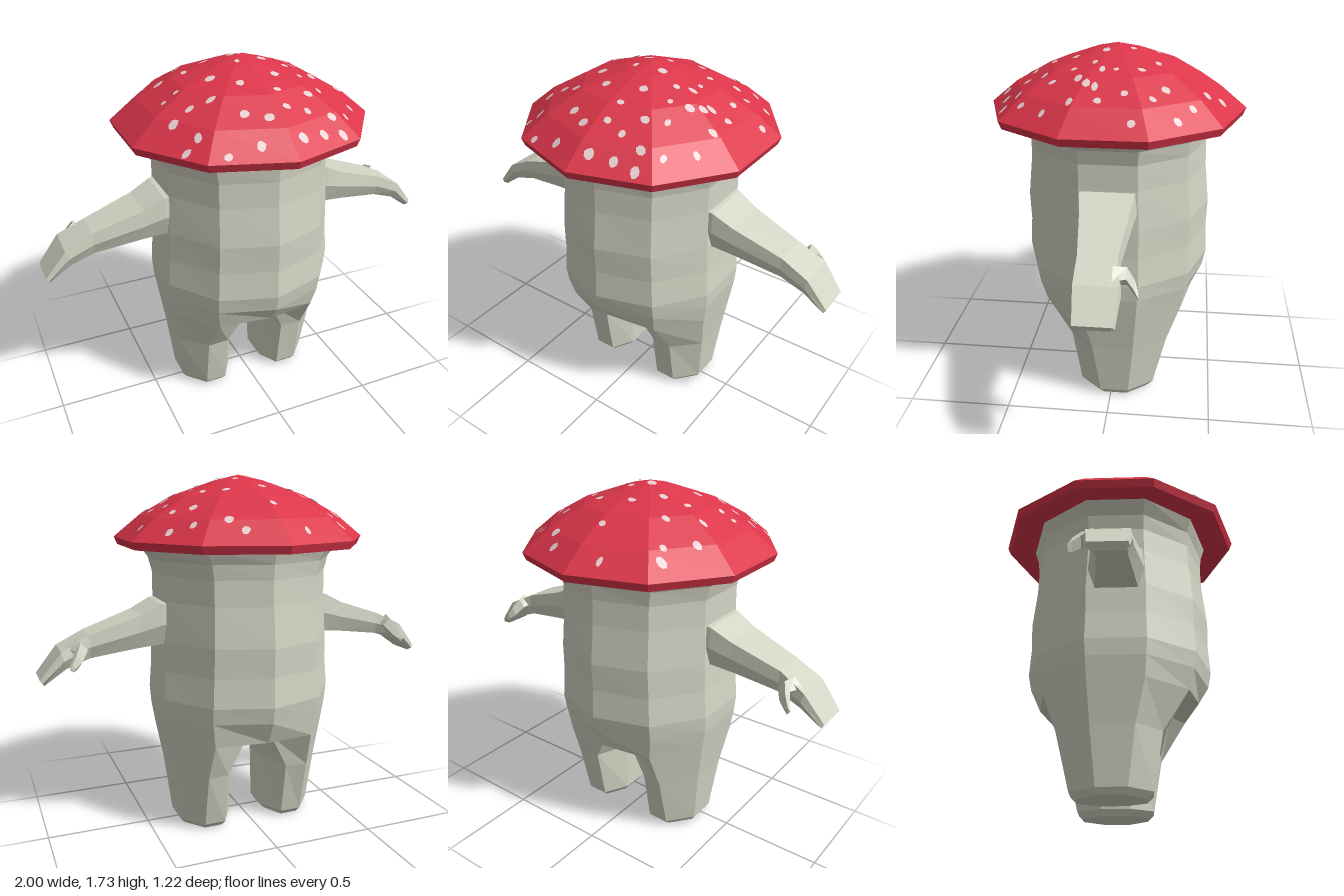
import * as THREE from 'three';

const flat = (name, color) => {
  const m = new THREE.MeshStandardMaterial({ color, flatShading: true });
  m.name = name;
  return m;
};

// Skin through rings of [x, y, z] points; optional tip points close the two ends.
function loft(rings, startTip, endTip) {
  const n = rings[0].length, points = rings.flat(), index = [];
  const last = (rings.length - 1) * n;
  for (let i = 0; i < rings.length - 1; i++) {
    for (let j = 0; j < n; j++) {
      const a = i * n + j, b = i * n + (j + 1) % n;
      index.push(a, a + n, b + n, a, b + n, b);
    }
  }
  if (startTip) {
    const c = points.push(startTip) - 1;
    for (let j = 0; j < n; j++) index.push(j, (j + 1) % n, c);
  }
  if (endTip) {
    const c = points.push(endTip) - 1;
    for (let j = 0; j < n; j++) index.push(last + j, c, last + (j + 1) % n);
  }
  const g = new THREE.BufferGeometry();
  g.setAttribute('position', new THREE.Float32BufferAttribute(points.flat(), 3));
  g.setIndex(index);
  g.computeVertexNormals();
  return g;
}

const flip = ([x, y, z]) => [-x, y, z];
const mirrorRings = rings => rings.map(r => r.map(flip).reverse());

export function createModel() {
  const model = new THREE.Group();
  const skin = flat('pale stalk', 0xd4d4c5);
  const red = flat('cap red', 0xdc364a);
  const white = flat('spot white', 0xe6cfd0);
  white.side = THREE.DoubleSide;

  const add = (name, geometry, material) => {
    const mesh = new THREE.Mesh(geometry, material);
    mesh.name = name;
    model.add(mesh);
  };
  // Adds a left part and its mirrored right twin.
  const addPair = (name, rings, startTip, endTip) => {
    add('left' + name, loft(rings, startTip, endTip), skin);
    add('right' + name, loft(mirrorRings(rings), startTip && flip(startTip), endTip && flip(endTip)), skin);
  };

  // Ten-sided body: [y, x radius, z radius]
  const bodyRings = [
    [1.41, 0.505, 0.46], [1.34, 0.45, 0.437], [1.27, 0.43, 0.43], [1.15, 0.43, 0.433],
    [0.96, 0.44, 0.453], [0.82, 0.445, 0.448], [0.68, 0.457, 0.456], [0.6, 0.452, 0.44],
  ].map(([y, rx, rz]) => Array.from({ length: 10 }, (_, j) => {
    const a = j * Math.PI / 5;
    return [Math.sin(a) * rx, y, Math.cos(a) * rz];
  }));
  // Lower hem of the belly, where the legs take over
  bodyRings.push([
    [0, 0.52, 0.39], [0.25, 0.5, 0.33], [0.415, 0.5, 0.13], [0.415, 0.5, -0.13], [0.25, 0.48, -0.34],
    [0, 0.49, -0.39], [-0.25, 0.48, -0.34], [-0.415, 0.5, -0.13], [-0.415, 0.5, 0.13], [-0.25, 0.5, 0.33],
  ]);
  add('body', loft(bodyRings, null, [0, 0.46, 0]), skin);

  // Eight-sided legs
  const foot = (y, s) => [
    [0.155, 0.16], [0.26, 0.16], [0.355, 0.05], [0.355, -0.09],
    [0.26, -0.21], [0.155, -0.21], [0.092, -0.09], [0.092, 0.05],
  ].map(([x, z]) => [0.222 + (x - 0.222) * s, y, -0.025 + (z + 0.025) * s]);
  addPair('Leg', [
    [[0.07, 0.48, 0.25], [0.25, 0.5, 0.33], [0.415, 0.5, 0.13], [0.415, 0.5, -0.13],
      [0.25, 0.48, -0.34], [0.07, 0.47, -0.27], [0.03, 0.47, -0.09], [0.03, 0.47, 0.08]],
    [[0.155, 0.3, 0.2], [0.262, 0.3, 0.205], [0.385, 0.3, 0.085], [0.385, 0.3, -0.115],
      [0.262, 0.3, -0.275], [0.155, 0.3, -0.26], [0.09, 0.3, -0.09], [0.09, 0.3, 0.06]],
    foot(0.03, 1), foot(0, 0.85),
  ], null, [0.222, 0, -0.025]);

  // Arms: [top x, top y, bottom x, bottom y, front z, back z]
  const armRings = [
    [0.36, 1.15, 0.36, 0.94, 0.135, -0.135], [0.43, 1.14, 0.43, 0.945, 0.135, -0.13],
    [0.53, 1.09, 0.55, 0.932, 0.12, -0.115], [0.77, 1.01, 0.765, 0.9, 0.09, -0.09],
    [0.9, 0.945, 0.88, 0.862, 0.09, -0.11], [1.0, 0.82, 0.98, 0.79, 0.08, -0.095],
  ].map(([tx, ty, bx, by, f, b]) => {
    const mx = (tx + bx) / 2, my = (ty + by) / 2;
    return [[bx, by, f * 0.75], [mx, my, f], [tx, ty, f * 0.93],
      [tx, ty, b * 0.93], [mx, my, b], [bx, by, b * 0.75]];
  });
  addPair('Arm', armRings, null, [0.99, 0.805, 0]);

  // Thumbs: [x, y, z, half width, half height]
  const thumbRings = [
    [0.83, 0.955, -0.07, 0.05, 0.045], [0.815, 0.95, -0.125, 0.03, 0.04],
    [0.84, 0.91, -0.16, 0.025, 0.035], [0.862, 0.885, -0.175, 0.015, 0.018],
  ].map(([x, y, z, w, h]) => [[x, y - h, z], [x + w, y, z], [x, y + h, z], [x - w, y, z]]);
  addPair('Thumb', thumbRings, null, [0.868, 0.878, -0.178]);

  // Ten-sided cap with a flat underside
  const profile = [[0.61, 1.437], [0.485, 1.54], [0.32, 1.633], [0.118, 1.703], [0, 1.73]];
  const capPoints = [[0.35, 1.402], [0.595, 1.4], ...profile].map(p => new THREE.Vector2(...p));
  add('cap', new THREE.LatheGeometry(capPoints, 10), red);

  // Height of the faceted cap above a point
  const capHeight = (x, z) => {
    const step = Math.PI / 5, a = Math.atan2(x, z);
    const mid = (Math.floor(a / step) + 0.5) * step;
    const r = Math.hypot(x, z) * Math.cos(a - mid) / Math.cos(step / 2);
    let i = 0;
    while (i < profile.length - 2 && r < profile[i + 1][0]) i++;
    const [r0, y0] = profile[i], [r1, y1] = profile[i + 1];
    return y0 + (y1 - y0) * (r0 - r) / (r0 - r1);
  };

  // Spots draped on the cap: x, z pairs in hundredths
  const spots = [
    -12, -51, 16, -49, -35, -39, -32, -34, 21, -42, -2, -37, 35, -36, 44, -30, -41, -22, -24, -21,
    -4, -19, 14, -20, 31, -24, 39, -19, 23, -13, -25, -6, -14, -9, -36, -10, 5, -8, 39, -7,
    -3, -3, 25, -2, 52, -11, -4, 6, -34, 8, -40, 9, -19, 11, 9, 4, 19, 8, 25, 4,
    36, 6, 43, 4, 34, 10, 30, 14, -9, 21, 9, 18, -24, 24, -33, 22, -41, 24, 5, 29,
    19, 31, 27, 26, 43, 28, 43, 16, 22, 17, -35, 37, -41, 39, -14, 37, -5, 42, 5, 38,
    14, 40, 25, 42, 34, 39, -27, 50, -13, 51, 6, 52, 17, 50, 27, 49,
  ];
  let seed = 7;
  const rand = () => (seed = (seed * 16807) % 2147483647) / 2147483647;
  const pos = [], index = [], sides = 8;
  for (let k = 0; k < spots.length; k += 2) {
    const cx = spots[k] / 100, cz = spots[k + 1] / 100, base = pos.length / 3;
    const rx = 0.012 + rand() * 0.013, rz = 0.012 + rand() * 0.009;
    const put = (x, z) => pos.push(x, capHeight(x, z) + 0.005, z);
    put(cx, cz);
    for (let j = 0; j < sides; j++) {
      const a = j / sides * Math.PI * 2, w = 0.88 + rand() * 0.24;
      put(cx + Math.sin(a) * rx * w, cz + Math.cos(a) * rz * w);
      index.push(base, base + 1 + j, base + 1 + (j + 1) % sides);
    }
  }
  const spotGeometry = new THREE.BufferGeometry();
  spotGeometry.setAttribute('position', new THREE.Float32BufferAttribute(pos, 3));
  spotGeometry.setIndex(index);
  spotGeometry.computeVertexNormals();
  add('capSpots', spotGeometry, white);

  return model;
}
